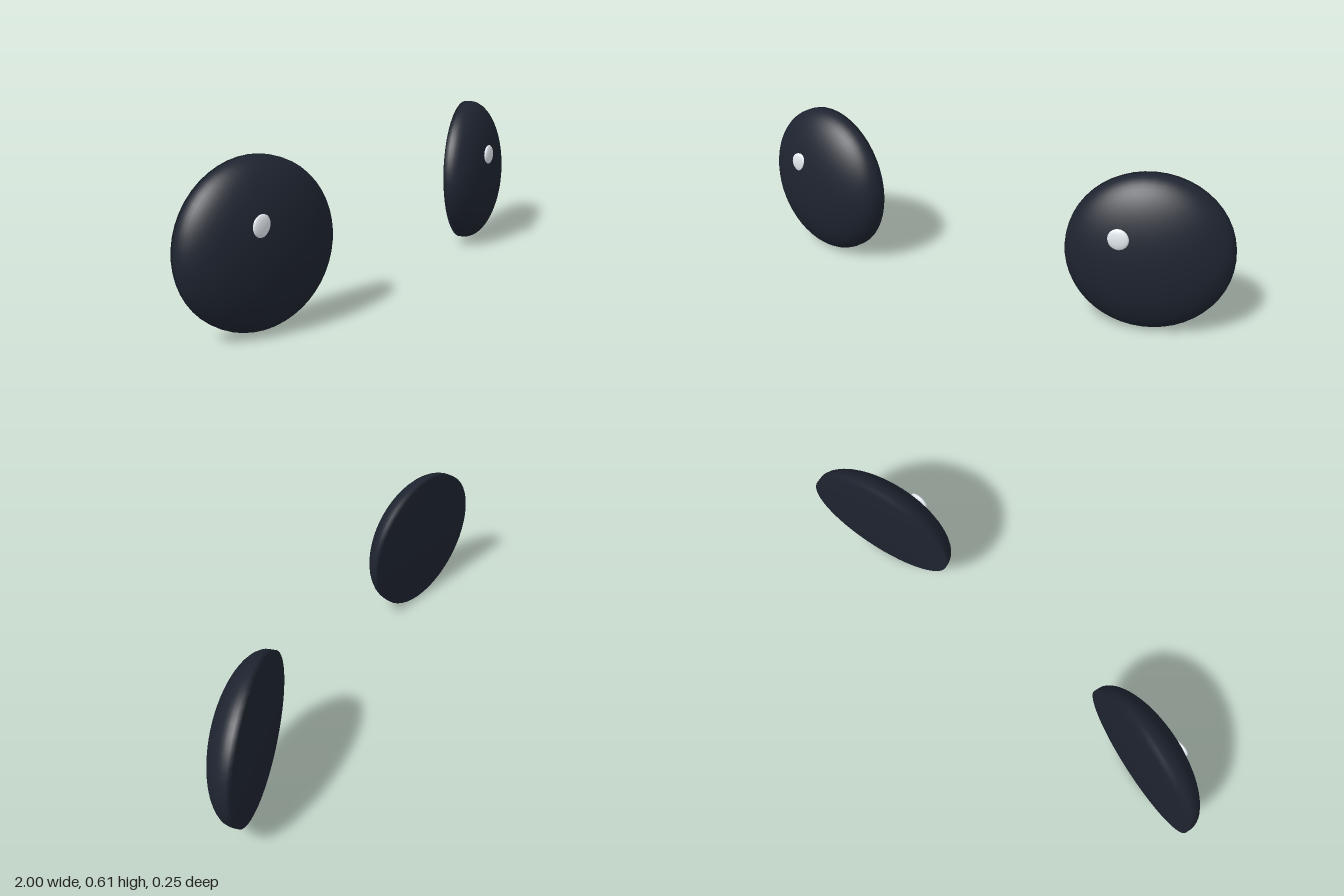
import * as THREE from 'three';

const RADIUS = 0.303, RIM = 0.02, DEPTH = 0.131;
const YAW = 0.25, TILT = 0.04;

// Flat back, thin straight rim, then an elliptical dome towards +z
function domeGeometry() {
  const points = [new THREE.Vector2(0, 0), new THREE.Vector2(RADIUS, 0)];
  const steps = 16;
  for (let i = 0; i <= steps; i++) {
    const a = (i / steps) * Math.PI / 2;
    points.push(new THREE.Vector2(i === steps ? 0 : RADIUS * Math.cos(a), RIM + DEPTH * Math.sin(a)));
  }
  const geometry = new THREE.LatheGeometry(points, 48);
  geometry.rotateX(Math.PI / 2);
  geometry.scale(1.015, 1, 1);
  return geometry;
}

export function createModel() {
  const model = new THREE.Group();
  model.name = 'eyes';
  const dark = new THREE.MeshStandardMaterial({ color: 0x1e2430 });
  const light = new THREE.MeshStandardMaterial({ color: 0xe4eaf0 });
  const dome = domeGeometry();
  const spot = new THREE.SphereGeometry(1, 24, 16).scale(0.039, 0.04, 0.012);

  // The glints sit on the same side of both eyes, so they are not mirrored
  const eyes = [
    { name: 'leftEye', side: 1, glint: [0.626, 0.4, 0.111] },
    { name: 'rightEye', side: -1, glint: [-0.775, 0.4, 0.07] },
  ];
  for (const { name, side, glint } of eyes) {
    const eye = new THREE.Mesh(dome, dark);
    eye.name = name;
    eye.position.set(side * 0.694, 0.303, -0.05);
    eye.rotation.set(-TILT, side * YAW, 0, 'YXZ');

    const highlight = new THREE.Mesh(spot, light);
    highlight.name = name + 'Highlight';
    highlight.position.set(...glint);
    highlight.rotation.set(-TILT, side * 0.1, 0, 'YXZ');
    model.add(eye, highlight);
  }
  return model;
}
